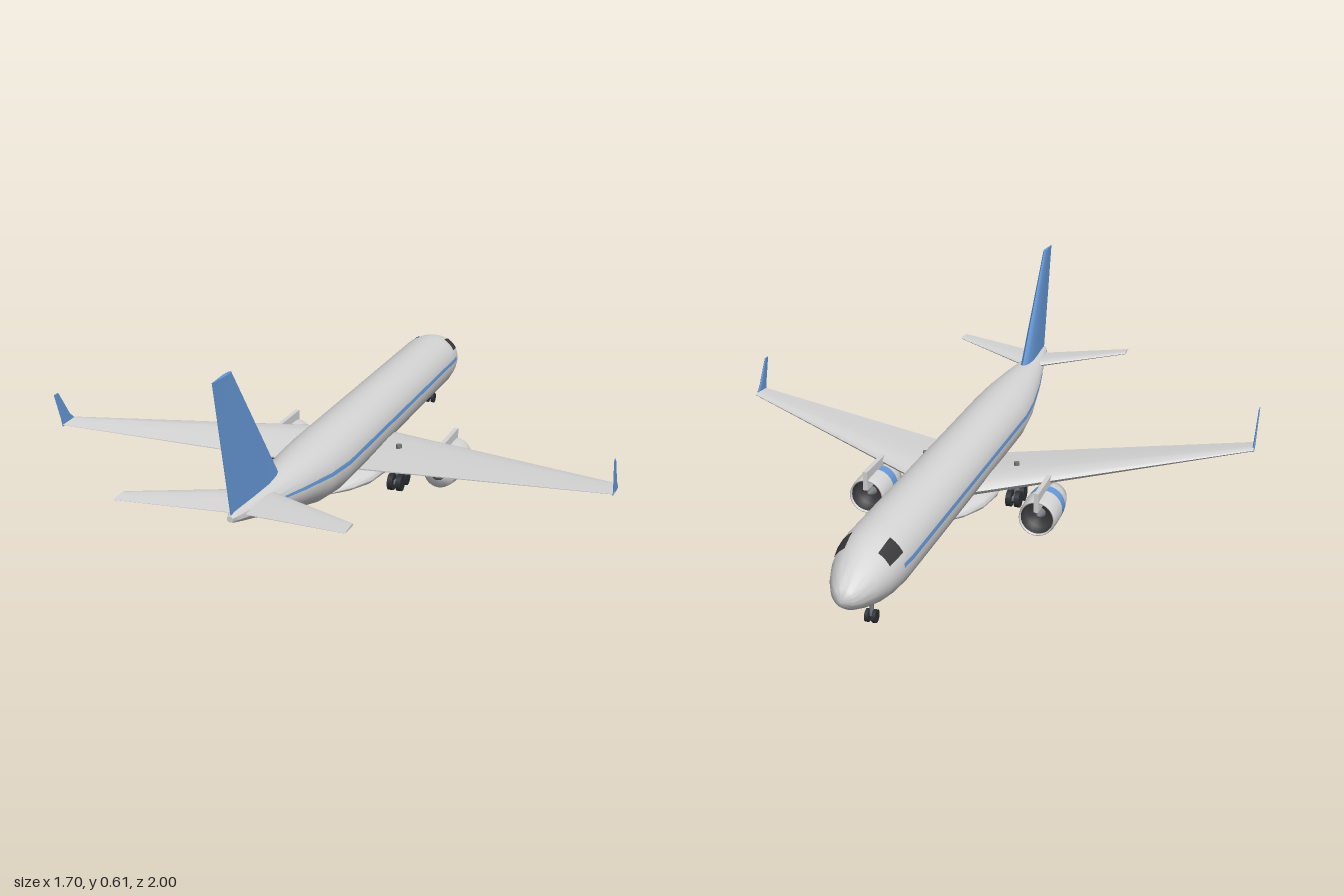
import * as THREE from 'three';
import { toCreasedNormals } from 'three/addons/utils/BufferGeometryUtils.js';

const paint = (name, color, side = THREE.FrontSide) => {
  const m = new THREE.MeshStandardMaterial({ color, side });
  m.name = name;
  return m;
};

// Skin through closed rings of [x, y, z] points, with both ends capped
function loft(rings, crease) {
  const n = rings[0].length, pos = [], idx = [];
  rings.forEach(r => r.forEach(p => pos.push(...p)));
  for (let i = 0; i < rings.length - 1; i++)
    for (let j = 0; j < n; j++) {
      const a = i * n + j, b = i * n + (j + 1) % n;
      idx.push(a, b, a + n, b, b + n, a + n);
    }
  [0, rings.length - 1].forEach((r, end) => {
    const c = pos.length / 3;
    pos.push(...[0, 1, 2].map(k => rings[r].reduce((s, p) => s + p[k], 0) / n));
    for (let j = 0; j < n; j++) {
      const a = r * n + j, b = r * n + (j + 1) % n;
      idx.push(...(end ? [a, b, c] : [b, a, c]));
    }
  });
  // Turn all faces outward whatever the ring direction
  let vol = 0;
  const v = i => new THREE.Vector3().fromArray(pos, i * 3);
  for (let i = 0; i < idx.length; i += 3) vol += v(idx[i]).dot(v(idx[i + 1]).cross(v(idx[i + 2])));
  if (vol < 0) idx.reverse();
  const g = new THREE.BufferGeometry();
  g.setAttribute('position', new THREE.Float32BufferAttribute(pos, 3));
  g.setIndex(idx);
  return toCreasedNormals(g, crease);
}

// Hull stations: z, centre height, half width, half height
const HULL = [
  [-1, .165, .004, .004], [-.985, .165, .027, .026], [-.96, .165, .045, .043],
  [-.92, .167, .065, .061], [-.87, .17, .082, .078], [-.82, .173, .092, .089],
  [-.76, .175, .098, .095], [.33, .175, .098, .095], [.45, .182, .09, .087],
  [.6, .199, .07, .064], [.75, .217, .043, .039], [.9, .235, .017, .015], [.925, .237, .008, .008]];
const BELLY = [
  [-.25, .05, .003, .003], [-.18, .05, .055, .019], [-.1, .05, .088, .03], [0, .05, .1, .035],
  [.1, .05, .088, .03], [.18, .05, .055, .019], [.255, .05, .003, .003]];

const onEllipse = ([z, cy, rx, ry], a, lift = 0) =>
  [(rx + lift) * Math.cos(a), cy + (ry + lift) * Math.sin(a), z];
const ellipseRings = (rows, n) => rows.map(r =>
  Array.from({ length: n }, (_, j) => onEllipse(r, j / n * Math.PI * 2)));

function hullAt(z) {
  const i = Math.max(1, HULL.findIndex(r => r[0] >= z));
  const [p, q] = [HULL[i - 1], HULL[i]], t = (z - p[0]) / (q[0] - p[0]);
  return p.map((v, k) => v + (q[k] - v) * t);
}

// Painted patch lying on the hull between two stations and two angles (degrees)
function hullPatch(z0, z1, a0, a1, side) {
  const zs = [z0, ...HULL.map(r => r[0]).filter(z => z > z0 && z < z1), z1];
  const pos = [], idx = [], n = 6;
  zs.forEach((z, i) => {
    for (let j = 0; j <= n; j++) {
      const a = THREE.MathUtils.degToRad(a0 + (a1 - a0) * j / n);
      const [x, y] = onEllipse(hullAt(z), a, .0025);
      pos.push(x * side, y, z);
      if (i && j) {
        const d = i * (n + 1) + j, c = d - 1, b = d - n - 1, e = b - 1;
        idx.push(...(side > 0 ? [e, b, c, b, d, c] : [e, c, b, b, c, d]));
      }
    }
  });
  const g = new THREE.BufferGeometry();
  g.setAttribute('position', new THREE.Float32BufferAttribute(pos, 3));
  g.setIndex(idx);
  g.computeVertexNormals();
  return g;
}

// Flying surface: sections of span, leading z, trailing z, thickness, offset
const FOIL = [[0, 0], [.04, .28], [.12, .43], [.3, .5], [.6, .33], [1, .04],
  [1, -.04], [.6, -.33], [.3, -.5], [.12, -.43], [.04, -.28]];
const foil = (sections, side, upright) => loft(sections.map(([s, le, te, thick, off]) =>
  FOIL.map(([t, h]) => {
    const z = le + (te - le) * t;
    return upright ? [side * off + h * thick, s, z] : [side * s, off + h * thick, z];
  })), .7);

export function createModel() {
  const model = new THREE.Group();
  model.name = 'airliner';
  const white = paint('body light grey', 0xd4d4d4);
  const blue = paint('trim blue', 0x6699d8, THREE.DoubleSide);
  const dark = paint('glass dark grey', 0x3a3a3c, THREE.DoubleSide);
  const tyre = paint('tyre black', 0x2c3034);
  const metal = paint('strut grey', 0x777a7d);

  const add = (name, geo, mat, x = 0, y = 0, z = 0, parent = model) => {
    const m = new THREE.Mesh(geo, mat);
    m.name = name;
    m.position.set(x, y, z);
    parent.add(m);
    return m;
  };
  const spin = pts => new THREE.LatheGeometry(
    pts.map(([r, z]) => new THREE.Vector2(r, z)), 32).rotateX(Math.PI / 2);
  const wheel = (r, w) => new THREE.CylinderGeometry(r, r, w, 20).rotateZ(Math.PI / 2);
  const post = (r, h) => new THREE.CylinderGeometry(r, r, h, 12);

  // Body
  add('fuselage', loft(ellipseRings(HULL, 40), 1), white);
  add('bellyFairing', loft(ellipseRings(BELLY, 32), 1), white);
  add('tailFin', foil([[.235, .608, .917, .034, 0], [.25, .62, .92, .032, 0],
    [.61, .895, 1, .011, 0]], 1, true), blue);

  for (const side of [1, -1]) {
    const tag = side > 0 ? 'left' : 'right';

    // Painted details
    add(tag + 'Stripe', hullPatch(-.81, .7, 4, 11.5, side), blue);
    add(tag + 'CockpitWindow', hullPatch(-.865, -.797, 27, 58, side), dark);

    // Wings and tailplane
    add(tag + 'Wing', foil([[.02, -.176, .176, .048, .107], [.1, -.135, .19, .045, .115],
      [.845, .247, .325, .011, .19]], side, false), white);
    add(tag + 'Winglet', foil([[.185, .248, .325, .007, .843], [.215, .28, .332, .006, .844],
      [.295, .333, .358, .004, .846]], side, true), blue);
    add(tag + 'Tailplane', foil([[.01, .71, .877, .02, .234], [.31, .89, .95, .007, .256]],
      side, false), white);

    // Engine
    const engine = new THREE.Group();
    engine.name = tag + 'Engine';
    engine.position.set(side * .27, .062, 0);
    model.add(engine);
    const part = (name, geo, mat) => add(name, geo, mat, 0, 0, 0, engine);
    part('intake', spin([[0, -.125], [.047, -.125], [.049, -.168]]), dark);
    part('spinner', spin([[0, -.155], [.008, -.148], [.016, -.125]]), metal);
    part('frontCowl', spin([[.049, -.168], [.051, -.175], [.054, -.174],
      [.057, -.155], [.058, -.12], [.058, -.09]]), white);
    part('cowlBand', spin([[.058, -.09], [.0565, -.05]]), blue);
    part('rearCowl', spin([[.0565, -.05], [.053, -.02], [.047, .01], [.02, .022]]), white);
    part('exhaustCone', spin([[.02, .02], [.016, .03], [0, .05]]), metal);
    add('pylon', new THREE.BoxGeometry(.014, .06, .2), white, 0, .053, -.08, engine);

    // Main landing gear
    const gear = new THREE.Group();
    gear.name = tag + 'MainGear';
    gear.position.set(side * .15, .036, .035);
    model.add(gear);
    add('strut', post(.009, .112), metal, 0, .056, 0, gear);
    add('bogieBeam', new THREE.BoxGeometry(.012, .012, .07), metal, 0, 0, 0, gear);
    for (const z of [-.027, .027])
      for (const x of [-.0135, .0135])
        add('wheel', wheel(.026, .016), tyre, x, 0, z, gear);

    // Nose wheel on this side
    add(tag + 'NoseWheel', wheel(.018, .01), tyre, side * .01, .027, -.808);
  }
  add('noseStrut', post(.006, .075), metal, 0, .065, -.808);
  return model;
}
